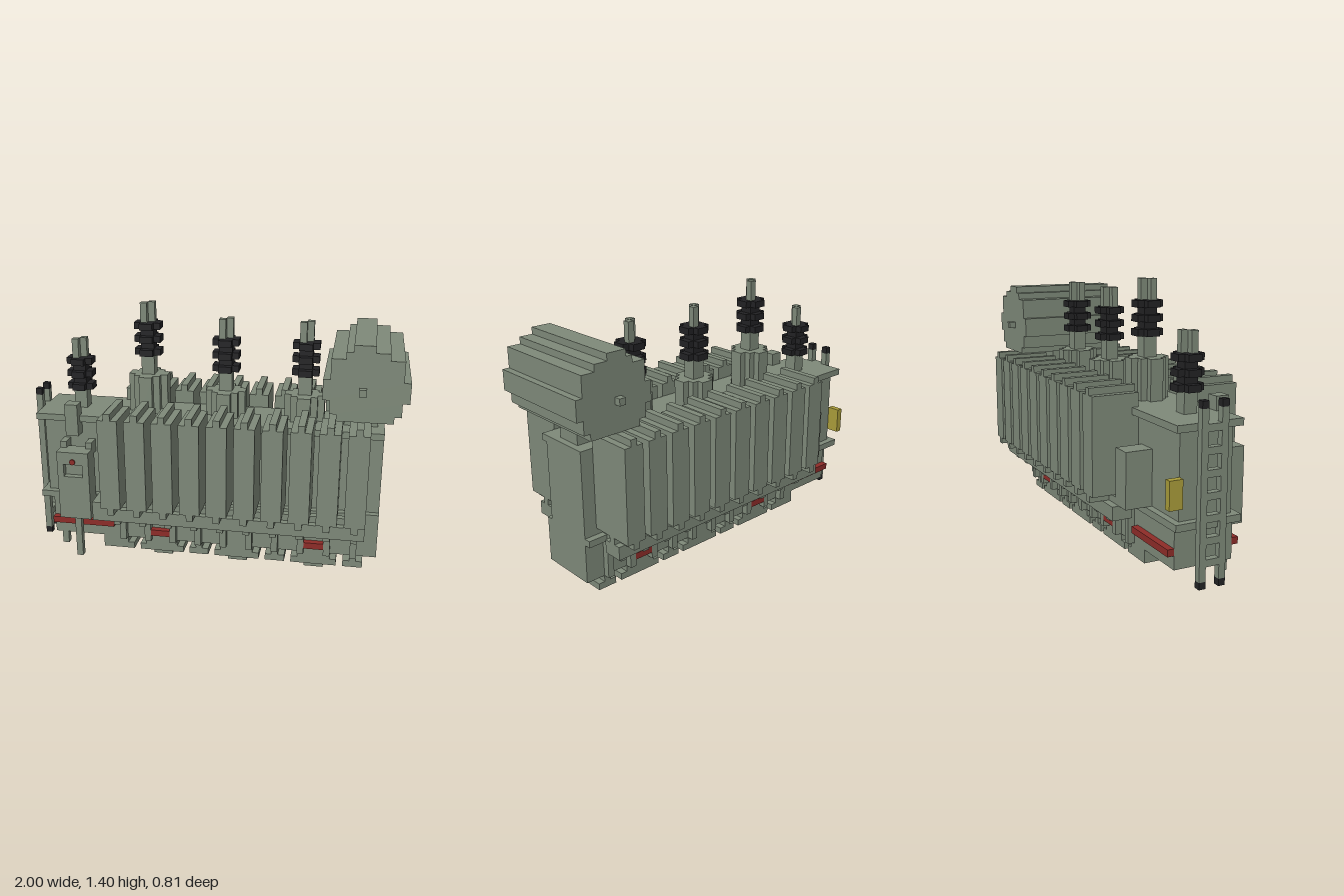
import * as THREE from 'three';

const V = 2 / 57; // size of one block

const mat = (name, color) => {
  const m = new THREE.MeshStandardMaterial({ color });
  m.name = name;
  return m;
};

export function createModel() {
  const root = new THREE.Group();
  root.name = 'powerTransformer';
  const grey = mat('greyGreenPaint', 0x7e8979);
  const black = mat('blackInsulator', 0x222224);
  const red = mat('redPaint', 0x8e2c28);
  const yellow = mat('yellowPaint', 0xa99c3a);

  // Box from block ranges: x (0-57), y (0-40), z (0-23)
  const box = (name, m, x0, x1, y0, y1, z0, z1, parent = root) => {
    const mesh = new THREE.Mesh(new THREE.BoxGeometry((x1 - x0) * V, (y1 - y0) * V, (z1 - z0) * V), m);
    mesh.position.set(((x0 + x1) / 2 - 28.5) * V, ((y0 + y1) / 2) * V, ((z0 + z1) / 2 - 11.5) * V);
    mesh.name = name;
    parent.add(mesh);
    return mesh;
  };
  const group = (name) => {
    const g = new THREE.Group();
    g.name = name;
    root.add(g);
    return g;
  };
  // Same box on the front and mirrored to the back
  const both = (name, m, x0, x1, y0, y1, z0, z1, parent) => {
    box(name, m, x0, x1, y0, y1, z0, z1, parent);
    box(name, m, x0, x1, y0, y1, 23 - z1, 23 - z0, parent);
  };
  // Blocky round column centred on x and z = 11, made of two crossing boxes
  const cross = (name, m, x, y0, y1, long, short, parent) => {
    box(name, m, x - long, x + long, y0, y1, 11 - short, 11 + short, parent);
    box(name, m, x - short, x + short, y0, y1, 11 - long, 11 + long, parent);
  };

  // Tank
  const tank = group('tank');
  box('lowerTank', grey, 3, 54, 3, 9, 7, 16, tank);
  box('tankFlange', grey, 1, 54, 9, 10, 6, 16, tank);
  box('upperTank', grey, 2, 54, 10, 22, 7, 15, tank);
  box('lid', grey, 1, 13, 22, 23, 6, 16, tank);
  box('lid', grey, 13, 54, 22, 23, 7, 16, tank);

  // Radiator fins, their feed pipes and the ribs below
  const radiators = group('radiators');
  for (let n = 0; n < 10; n++) {
    const x = 13 + 4 * n;
    both('radiatorFin', grey, x, x + 3, 11, 25, 16, 23, radiators);
    both('finCore', grey, x + 1, x + 2, 10, 26, 16, 23, radiators);
    both('feedPipe', grey, x + 1, x + 2, 8, 10, 15, 18, radiators);
    both('valve', grey, x + 1, x + 2, 7, 8, 19, 20, radiators);
    both('tankRib', grey, x + 1, x + 2, 3, 9, 16, 17, radiators);
  }
  both('headerPipe', grey, 11, 52, 8, 10, 18, 21, radiators);
  both('headerPipeTop', grey, 11, 52, 10, 11, 19, 20, radiators);
  box('headerElbow', grey, 11, 13, 8, 11, 16, 21, radiators);

  // Cross beams and wheels beneath
  const base = group('base');
  for (let n = 0; n < 4; n++) {
    const x = 13 + 12 * n;
    box('beamFlange', grey, x, x + 3, 1, 2, 7, 16, base);
    box('beamWeb', grey, x + 1, x + 2, 2, 3, 7, 16, base);
  }
  for (const x of [17, 29, 41]) {
    box('wheelTop', grey, x + 1, x + 6, 2, 3, 7, 16, base);
    box('wheelMiddle', grey, x, x + 7, 1, 2, 7, 16, base);
    box('wheelBottom', grey, x + 2, x + 5, 0, 1, 9, 15, base);
  }
  box('endPad', grey, 11, 14, 1, 3, 7, 16, base);

  // Red jacking pads and rails
  both('redRail', red, 3, 13, 5, 6, 16, 17);
  for (const x of [19, 43]) both('jackingPad', red, x, x + 3, 4, 5, 16, 17);

  // Bushings: column, three black sheds and a forked terminal
  for (const [x, turretTop, shed] of [[7, 0, 26], [18, 29, 32], [30, 27, 30], [42, 27, 30]]) {
    const g = group('bushing');
    if (turretTop) {
      cross('turret', grey, x, 23, turretTop, 3, 1, g);
      box('turretCore', grey, x - 2, x + 2, 23, turretTop, 9, 13, g);
    }
    box('bushingStem', grey, x - 1, x + 1, turretTop || 23, shed, 10, 12, g);
    box('insulatorCore', black, x - 1, x + 1, shed, shed + 5, 10, 12, g);
    for (let s = 0; s < 3; s++) cross('insulatorShed', black, x, shed + 2 * s, shed + 2 * s + 1, 2, 1, g);
    box('terminal', grey, x, x + 1, shed + 5, shed + 8, 10, 11, g);
    box('terminal', grey, x - 1, x, shed + 5, shed + 8, 11, 12, g);
  }

  // Oil conservator drum, as stepped slabs [y0, y1, x0, x1]
  const drum = group('conservator');
  for (const [y0, y1, x0, x1] of [[26, 27, 47, 55], [27, 29, 46, 56], [29, 32, 45, 57],
    [32, 35, 46, 56], [35, 36, 48, 54], [36, 37, 49, 52]]) {
    box('drumSlab', grey, x0, x1, y0, y1, 3, 20, drum);
  }
  both('drumCap', grey, 50, 51, 30, 31, 20, 21, drum);
  box('drumSupport', grey, 48, 53, 23, 26, 9, 13, drum);

  // Control cabinet with a recessed window
  const cab = group('controlCabinet');
  box('cabinetBody', grey, 5, 10, 7, 18, 16, 18, cab);
  const face = new THREE.Shape([[0, 0], [5, 0], [5, 11], [0, 11]].map(([x, y]) => new THREE.Vector2(x * V, y * V)));
  face.holes.push(new THREE.Path([[1, 7], [1, 9], [4, 9], [4, 7]].map(([x, y]) => new THREE.Vector2(x * V, y * V))));
  const door = new THREE.Mesh(new THREE.ExtrudeGeometry(face, { depth: V, bevelEnabled: false }), grey);
  door.name = 'cabinetDoor';
  door.position.set((5 - 28.5) * V, 7 * V, (18 - 11.5) * V);
  cab.add(door);
  const knob = new THREE.Mesh(new THREE.CylinderGeometry(0.016, 0.016, 0.009, 8), red);
  knob.name = 'redKnob';
  knob.rotation.x = Math.PI / 2;
  knob.position.set((7.5 - 28.5) * V, 16.5 * V, 7.5 * V + 0.004);
  cab.add(knob);
  for (const x of [5, 9]) box('cabinetBracket', grey, x, x + 1, 17, 19, 15, 17, cab);
  box('conduitBox', grey, 6, 8, 20, 25, 15, 17, cab);
  box('cabinetLeg', grey, 7, 8, 0, 7, 17, 18, cab);
  box('drainPipe', grey, 4, 5, 1, 4, 15, 16, cab);

  // Rear cabinet and label box
  box('rearCabinet', grey, 9, 12, 10, 18, 3, 7);
  box('yellowBox', yellow, 1, 2, 12, 16, 5, 7);

  // Ladder
  const ladder = group('ladder');
  for (const z of [9, 12]) {
    box('ladderRail', grey, 0, 1, 2, 25, z, z + 1, ladder);
    box('railFoot', black, 0, 1, 1, 2, z, z + 1, ladder);
    box('railCap', black, 0, 1, 25, 26, z, z + 1, ladder);
  }
  for (let y = 4; y < 25; y += 3) box('rung', grey, 0, 1, y, y + 1, 10, 12, ladder);
  for (const y of [9, 22]) both('ladderMount', grey, 0.5, 1, y, y + 1, 10, 12, ladder);

  return root;
}
